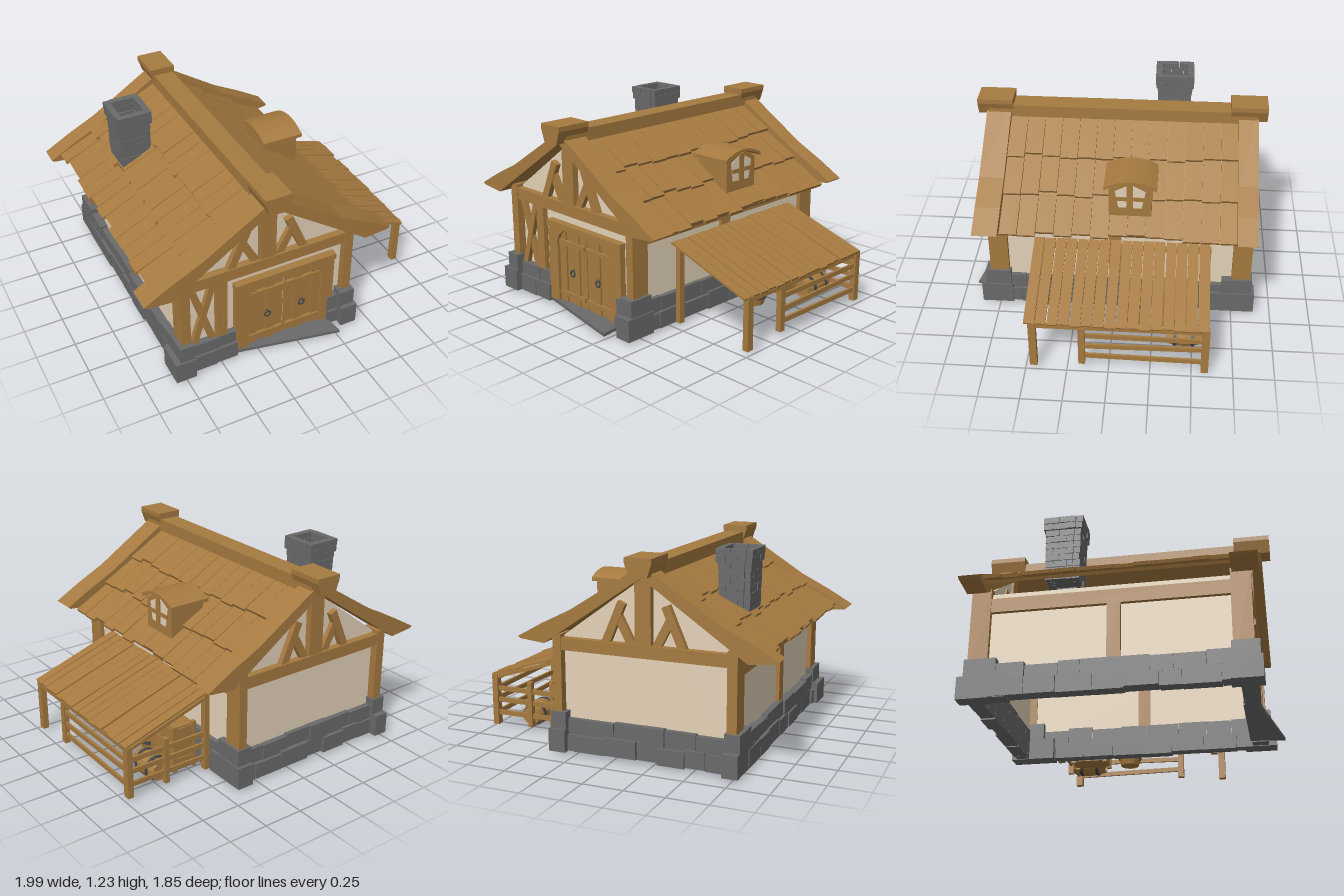
import * as THREE from 'three';

const mat = (name, color) => { const m = new THREE.MeshStandardMaterial({ color }); m.name = name; return m; };

export function createModel() {
  const root = new THREE.Group();
  root.name = 'timberHouse';
  const wood = mat('wood', 0xa67a40), plaster = mat('plaster', 0xe4d2b8);
  const stone = mat('stone', 0x6a6a6a), iron = mat('iron', 0x43474b);
  const CX = -0.19;
  let seed = 7;
  const rnd = (a, b) => { seed = (seed * 16807) % 2147483647; return a + (b - a) * seed / 2147483647; };

  const group = (name, parent = root) => { const g = new THREE.Group(); g.name = name; parent.add(g); return g; };
  const add = (name, geo, m, parent = root) => {
    const mesh = new THREE.Mesh(geo, m); mesh.name = name; parent.add(mesh); return mesh;
  };
  const box = (name, m, x0, x1, y0, y1, z0, z1, parent) => {
    const b = add(name, new THREE.BoxGeometry(x1 - x0, y1 - y0, z1 - z0), m, parent);
    b.position.set((x0 + x1) / 2, (y0 + y1) / 2, (z0 + z1) / 2);
    return b;
  };
  // straight beam between two points of the xy plane
  const beam = (name, m, a, b, w, z0, z1, parent) => {
    const dx = b[0] - a[0], dy = b[1] - a[1];
    const k = add(name, new THREE.BoxGeometry(Math.hypot(dx, dy), w, z1 - z0), m, parent);
    k.position.set((a[0] + b[0]) / 2, (a[1] + b[1]) / 2, (z0 + z1) / 2);
    k.rotation.z = Math.atan2(dy, dx);
    return k;
  };
  const poly = pts => new THREE.Shape(pts.map(p => new THREE.Vector2(p[0], p[1])));
  const slab = (name, m, shape, z0, z1, parent) => {
    const g = new THREE.ExtrudeGeometry(shape, { depth: z1 - z0, bevelEnabled: false, curveSegments: 8 });
    g.translate(0, 0, z0);
    return add(name, g, m, parent);
  };

  // plaster walls
  const walls = group('walls');
  const gable = poly([[-0.73, 0.12], [0.36, 0.12], [0.36, 0.7], [CX, 1.1], [-0.73, 0.7]]);
  slab('frontWall', plaster, gable, 0.73, 0.75, walls);
  slab('backWall', plaster, gable, -0.81, -0.79, walls);
  box('leftWall', plaster, 0.34, 0.36, 0.12, 0.7, -0.8, 0.74, walls);
  box('rightWall', plaster, -0.73, -0.71, 0.12, 0.7, -0.8, 0.74, walls);

  // timber frame
  const frame = group('timberFrame');
  for (const [x0, x1] of [[-0.76, -0.7], [0.333, 0.388]]) {
    box('cornerPost', wood, x0, x1, 0.1, 0.73, 0.68, 0.8, frame);
    box('cornerPost', wood, x0, x1, 0.1, 0.73, -0.86, -0.74, frame);
    box('middlePost', wood, x0 + 0.005, x1 - 0.005, 0.12, 0.65, -0.04, 0.04, frame);
    box('wallPlate', wood, x0 + 0.005, x1 - 0.005, 0.57, 0.66, -0.8, 0.74, frame);
  }
  for (const [z0, z1] of [[0.71, 0.795], [-0.855, -0.77]]) {
    box('tieBeam', wood, -0.72, 0.385, 0.635, 0.71, z0, z1, frame);
    box('kingPost', wood, CX - 0.05, CX + 0.05, 0.71, 1.09, z0 + 0.005, z1 - 0.005, frame);
    for (const s of [-1, 1]) {
      beam('gableBrace', wood, [CX + s * 0.245, 0.69], [CX + s * 0.135, 0.945], 0.05, z0 + 0.01, z1 - 0.01, frame);
      beam('gableBrace', wood, [CX + s * 0.07, 0.69], [CX + s * 0.168, 0.875], 0.05, z0 + 0.015, z1 - 0.015, frame);
    }
  }
  box('innerPost', wood, -0.525, -0.455, 0.15, 0.64, 0.7, 0.785, frame);
  beam('crossBrace', wood, [-0.68, 0.18], [-0.54, 0.64], 0.042, 0.71, 0.78, frame);
  beam('crossBrace', wood, [-0.54, 0.18], [-0.68, 0.64], 0.042, 0.715, 0.775, frame);

  // double door with its frame
  const door = group('door');
  const surround = poly([[-0.4, 0.04], [0.27, 0.04], [0.27, 0.55], [-0.4, 0.55]]);
  surround.holes.push(poly([[-0.315, 0.04], [-0.315, 0.44], [-0.295, 0.49], [-0.25, 0.525], [0.12, 0.525], [0.165, 0.49], [0.185, 0.44], [0.185, 0.04]]));
  slab('doorFrame', wood, surround, 0.7, 0.79, door);
  box('lintel', wood, -0.405, 0.275, 0.53, 0.57, 0.7, 0.799, door);
  for (const s of [-1, 1]) {
    const c = -0.065;
    for (let i = 0; i < 4; i++) {
      const a = c + s * (0.004 + i * 0.062), b = c + s * (0.064 + i * 0.062);
      box('doorPlank', wood, Math.min(a, b), Math.max(a, b), 0.04, 0.53, 0.715, 0.76 + (i % 2) * 0.01, door);
    }
    for (const y of [0.09, 0.43])
      box('doorRail', wood, c + Math.min(s * 0.01, s * 0.245), c + Math.max(s * 0.01, s * 0.245), y, y + 0.028, 0.755, 0.78, door);
    const ring = add('doorRing', new THREE.TorusGeometry(0.019, 0.005, 6, 14), iron, door);
    ring.position.set(c + s * 0.118, 0.257, 0.782);
    const boss = add('ringBoss', new THREE.SphereGeometry(0.01, 8, 6), iron, door);
    boss.position.set(c + s * 0.118, 0.277, 0.778);
  }
  const step = slab('doorStep', stone, poly([[-0.39, -0.79], [0.26, -0.92], [0.23, -0.7], [-0.39, -0.7]]), 0.025, 0.045);
  step.rotation.x = -Math.PI / 2;

  // irregular stone footing
  const footing = group('stoneFooting');
  const course = (a, b, place) => [[0.02, 0.12], [0.105, 0.212]].forEach(([y0, y1], row) => {
    let p = a;
    while (p < b - 0.001) {
      let q = p + rnd(0.12, 0.22);
      if (b - q < 0.09) q = b;
      place(p, q - 0.002, y0 + rnd(-0.006, 0.006), y1 + rnd(-0.006, 0.014), rnd(0, 0.018) + (row ? 0 : 0.014));
      p = q;
    }
  });
  course(-0.72, 0.72, (p, q, y0, y1, o) => box('leftStone', stone, 0.335, 0.385 + o, y0, y1, p, q, footing));
  course(-0.72, 0.72, (p, q, y0, y1, o) => box('rightStone', stone, -0.765 - o, -0.705, y0, y1, p, q, footing));
  course(-0.72, 0.35, (p, q, y0, y1, o) => box('backStone', stone, p, q, y0, y1, -0.835 - o, -0.775, footing));
  course(-0.7, -0.395, (p, q, y0, y1, o) => box('frontStone', stone, p, q, y0, y1, 0.71, 0.785 + o, footing));
  course(0.235, 0.33, (p, q, y0, y1, o) => box('frontStone', stone, p, q, y0, y1, 0.71, 0.785 + o, footing));
  for (const [x0, x1, o, zf, zb] of [[-0.785, -0.69, -0.035, 0.845, -0.91], [0.305, 0.405, 0.008, 0.862, -0.892]]) {
    const lx0 = Math.min(x0, x0 + o), lx1 = Math.max(x1, x1 + o);
    box('cornerStone', stone, x0, x1, 0.14, 0.26, 0.67, 0.832, footing);
    box('cornerStone', stone, lx0, lx1, 0.015, 0.155, 0.66, zf, footing);
    box('cornerStone', stone, x0, x1, 0.14, 0.26, -0.872, -0.68, footing);
    box('cornerStone', stone, x0, lx1, 0.015, 0.155, zb, -0.61, footing);
  }

  // roof: deck, overlapping shingles, barge boards and ridge; the right side is a little shallower
  const roof = group('roof');
  for (const [s, slope] of [[-1, 0.575], [1, 0.645]]) {
    const side = pts => poly(pts.map(([d, y]) => [CX + s * d, y]));
    const roofY = d => 1.125 - slope * d;
    slab('roofDeck', wood, side([[0, 1.115], [0.7, roofY(0.7) - 0.012], [0.69, roofY(0.7) - 0.028], [0, 1.09]]), -0.76, 0.72, roof);
    const barge = side([[0, 1.17], [0.45, 0.885], [0.64, 0.79], [0.805, 0.697], [0.79, 0.685], [0.63, 0.67], [0, 1.1]]);
    slab('frontBarge', wood, barge, 0.695, 0.85, roof);
    slab('backBarge', wood, barge, -0.87, -0.745, roof);
    for (let i = 0; i < 13; i++) {
      const z0 = -0.75 + i * 0.1115;
      for (let r = 0; r < 3; r++) {
        const d0 = 0.02 + r * 0.235, d1 = 0.285 + r * 0.222 + rnd(-0.016, 0.016);
        beam('shingle', wood, [CX + s * d0, roofY(d0) - 0.012], [CX + s * d1, roofY(d1) + 0.01 + rnd(0, 0.008)],
          0.02, z0, z0 + 0.108, roof);
      }
    }
  }
  box('ridgeBeam', wood, CX - 0.065, CX + 0.065, 1.1, 1.178, -0.86, 0.84, roof);
  const cap = poly([[-0.055, 1.11], [0.055, 1.11], [0.083, 1.19], [0.083, 1.22], [-0.083, 1.22], [-0.083, 1.19]]
    .map(([x, y]) => [x + CX - 0.005, y]));
  slab('ridgeCap', wood, cap, 0.68, 0.905, roof);
  slab('ridgeCap', wood, cap, -0.925, -0.695, roof);

  // brick chimney, hollow, in staggered courses
  const chimney = group('chimney');
  chimney.position.set(-0.587, 0, -0.335);
  chimney.scale.z = 1.1;
  box('flueFloor', stone, -0.07, 0.07, 0.82, 0.98, -0.07, 0.07, chimney);
  for (let r = 0; r < 10; r++) {
    const y = 0.8 + r * 0.043, h = 0.092 + r * 0.001 + (r > 7 ? 0.009 : 0), t = 0.034;
    for (let k = 0; k < 4; k++) {
      const wallSide = group('brickCourse', chimney);
      wallSide.rotation.y = k * Math.PI / 2;
      const cuts = r % 2 ? [-h, -0.02, h - t] : [-h, -0.05, 0.025, h - t];
      for (let i = 0; i + 1 < cuts.length; i++)
        box('brick', stone, cuts[i], cuts[i + 1] - 0.002, y, y + 0.041, h - t, h + rnd(0, 0.006), wallSide);
    }
  }

  // arched dormer; shapes are drawn across z and extruded along x
  const dormer = group('dormer');
  dormer.rotation.y = Math.PI / 2;
  const arch = (u0, u1, y0, ys, yp) => {
    const a = new THREE.Shape(), m = (u0 + u1) / 2;
    a.moveTo(u0, y0); a.lineTo(u1, y0); a.lineTo(u1, ys);
    a.quadraticCurveTo(m, 2 * yp - ys, u0, ys);
    return a;
  };
  slab('dormerBody', wood, arch(-0.035, 0.225, 0.72, 0.935, 0.985), 0.18, 0.415, dormer);
  const hood = new THREE.Shape();
  hood.moveTo(-0.065, 0.94); hood.quadraticCurveTo(0.095, 1.04, 0.255, 0.94);
  hood.lineTo(0.255, 0.962); hood.quadraticCurveTo(0.095, 1.05, -0.065, 0.962);
  slab('dormerRoof', wood, hood, 0.162, 0.437, dormer);
  slab('windowPane', plaster, poly([[0.022, 0.81], [0.165, 0.805], [0.187, 0.925], [0.095, 0.975], [0.003, 0.925]]), 0.415, 0.419, dormer);
  box('windowBar', wood, 0.072, 0.112, 0.8, 0.98, 0.415, 0.427, dormer);
  box('windowBar', wood, 0.005, 0.187, 0.86, 0.886, 0.415, 0.425, dormer);

  // lean-to shelter
  const shelter = group('shelter');
  for (let i = 0; i < 16; i++) {
    const z = -0.59 + i * 0.0685, e = rnd(-0.012, 0.008);
    beam('roofSlat', wood, [0.4, 0.535 + rnd(0, 0.006)], [0.99 + e, 0.343 + rnd(0, 0.008)], 0.013, z, z + rnd(0.06, 0.067), shelter);
  }
  for (const z of [0.43, -0.6]) {
    box('innerPost', wood, 0.41, 0.442, 0.02, 0.53, z, z + 0.04, shelter);
    box('outerPost', wood, 0.95, 0.988, 0.02, 0.35, z, z + 0.045, shelter);
    beam('rafter', wood, [0.41, 0.51], [0.98, 0.33], 0.022, z + 0.005, z + 0.035, shelter);
  }
  box('innerPurlin', wood, 0.41, 0.435, 0.49, 0.52, -0.59, 0.46, shelter);
  box('outerPurlin', wood, 0.955, 0.98, 0.315, 0.338, -0.59, 0.46, shelter);
  box('gatePost', wood, 0.95, 0.985, 0.045, 0.33, 0.14, 0.18, shelter);
  box('backPost', wood, 0.7, 0.73, 0.03, 0.325, -0.6, -0.565, shelter);
  for (const y of [0.085, 0.17, 0.245]) {
    const rail = box('sideRail', wood, 0.962, 0.977, y, y + 0.03, -0.58, 0.17, shelter);
    rail.rotation.x = rnd(-0.02, 0.02);
    box('backRail', wood, 0.43, 0.96, y, y + 0.03, -0.588, -0.573, shelter);
  }

  // barrels with iron hoops
  const staves = new THREE.LatheGeometry([[0, -0.105], [0.058, -0.105], [0.06, -0.11], [0.074, -0.05], [0.078, 0], [0.074, 0.05],
    [0.06, 0.11], [0.054, 0.11], [0.054, 0.098], [0, 0.098]].map(p => new THREE.Vector2(...p)), 14).toNonIndexed();
  staves.computeVertexNormals();
  const barrel = (x, y, z, turn) => {
    const g = group('barrel');
    add('staves', staves, wood, g);
    for (const h of [-0.055, 0.055]) add('hoop', new THREE.CylinderGeometry(0.077, 0.077, 0.022, 14), iron, g).position.y = h;
    g.position.set(x, y, z);
    g.rotation.x = turn;
  };
  barrel(0.522, 0.11, -0.13, 0);
  barrel(0.732, 0.095, -0.45, Math.PI / 2);

  // slatted crate
  const crate = group('crate');
  box('crateCore', wood, 0.46, 0.605, 0.03, 0.315, -0.51, -0.29, crate);
  for (const x of [0.45, 0.59]) for (const z of [-0.52, -0.305])
    box('crateCorner', wood, x, x + 0.027, 0.02, 0.325, z, z + 0.027, crate);
  for (const y of [0.03, 0.13, 0.23])
    box('crateSlat', wood, 0.453, 0.614, y, y + 0.075, -0.517, -0.283, crate);
  return root;
}
